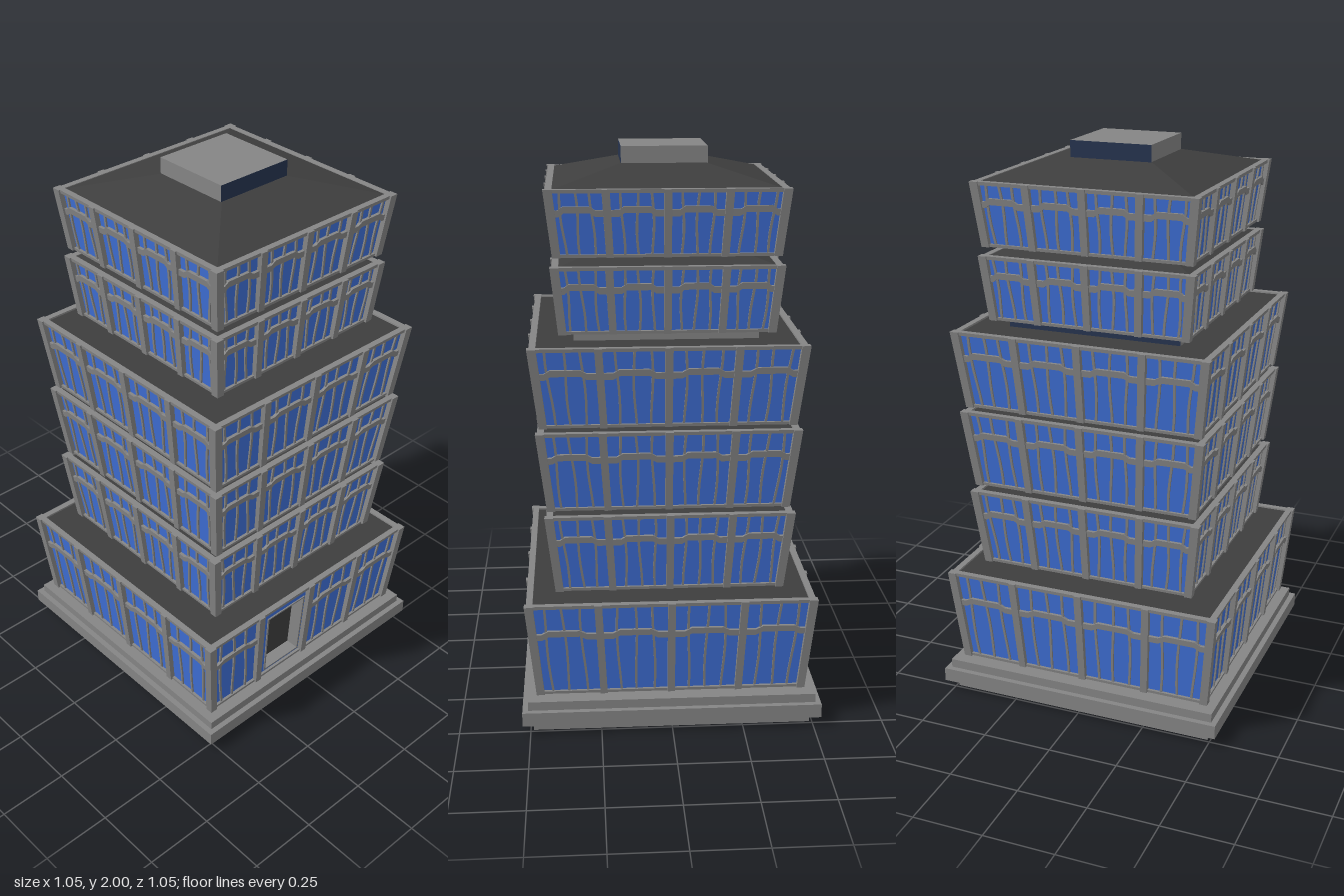
import * as THREE from 'three';
import { mergeGeometries } from 'three/addons/utils/BufferGeometryUtils.js';

const mat = (color, side = THREE.FrontSide) => new THREE.MeshStandardMaterial({ color, side, flatShading: true });
const grey = mat(0x858585);
const dark = mat(0x3e3e3e);
const navy = mat(0x26344f);
const blue = mat(0x3f70d8, THREE.DoubleSide);

// Storeys: bottom, top, width at bottom, width at top, centre x, centre z, width of neck above
const STOREYS = [
  [0.125, 0.475, 0.95, 1.02, -0.004, 0.002, 0.67],
  [0.49, 0.775, 0.80, 0.865, 0.01, 0.003, 0.57],
  [0.795, 1.08, 0.835, 0.902, 0.012, 0.008, 0.57],
  [1.095, 1.375, 0.872, 0.939, 0.01, 0.01, 0.63],
  [1.40, 1.63, 0.732, 0.78, 0.012, 0.009, 0],
  [1.66, 1.885, 0.759, 0.811, 0.012, 0.01, 0],
];
const INSET = 0.018; // glass behind the outer faces of the posts
const DOOR = { x0: -0.19, x1: -0.025, y0: 0.025, y1: 0.295, depth: 0.045 };

function block(x0, x1, y0, y1, z0, z1, segY = 1) {
  const g = new THREE.BoxGeometry(x1 - x0, y1 - y0, z1 - z0, 1, segY, 1);
  g.translate((x0 + x1) / 2, (y0 + y1) / 2, (z0 + z1) / 2);
  return g.toNonIndexed();
}

// Thin glazing bar that wavers a little on its way up
function mullion(x, h, z, seed) {
  const g = block(x - 0.004, x + 0.004, 0.008, h - 0.008, z, z + 0.008, 6);
  const p = g.attributes.position;
  for (let i = 0; i < p.count; i++) {
    p.setX(i, p.getX(i) + 0.004 * Math.sin(seed * 2.3 + (p.getY(i) / h) * 5));
  }
  return g;
}

// Transom with a raised middle and lower shoulders
function transom(x0, x1, y, z) {
  const t = 0.011, rise = 0.012, w = x1 - x0;
  const mid = [[0, 0], [0.16, 0], [0.26, rise], [0.74, rise], [0.84, 0], [1, 0]];
  const pts = [
    ...mid.map(([u, v]) => new THREE.Vector2(x0 + u * w, y + v - t)),
    ...mid.slice().reverse().map(([u, v]) => new THREE.Vector2(x0 + u * w, y + v + t)),
  ];
  const g = new THREE.ExtrudeGeometry(new THREE.Shape(pts), { depth: 0.013, bevelEnabled: false });
  return g.translate(0, 0, z);
}

// Glass wall of one side, with an opening where there is a door
function wall(w, h, z, hasDoor) {
  const a = w / 2 - INSET;
  const s = new THREE.Shape([[-a, 0], [a, 0], [a, h], [-a, h]].map(([x, y]) => new THREE.Vector2(x, y)));
  if (hasDoor) {
    const { x0, x1, y0, y1 } = DOOR;
    s.holes.push(new THREE.Path([[x0, y0], [x0, y1], [x1, y1], [x1, y0]].map(([x, y]) => new THREE.Vector2(x, y))));
  }
  return new THREE.ShapeGeometry(s).toNonIndexed().translate(0, 0, z);
}

// Four-sided frustum roof
function frustum(bottomW, topW, h, y) {
  const g = new THREE.CylinderGeometry(topW / Math.SQRT2, bottomW / Math.SQRT2, h, 4);
  return g.rotateY(Math.PI / 4).translate(0, y + h / 2, 0);
}

// Low block with dark front and back and grey sides
function neck(name, w, y0, y1, cx, cz) {
  const m = new THREE.Mesh(new THREE.BoxGeometry(w, y1 - y0, w), [grey, grey, grey, dark, navy, navy]);
  m.position.set(cx, (y0 + y1) / 2, cz);
  m.name = name;
  return m;
}

function storey(index) {
  const [y0, y1, w, topW, cx, cz, neckW] = STOREYS[index];
  const h = y1 - y0, half = w / 2, glassZ = half - INSET;
  const group = new THREE.Group();
  group.name = 'storey' + (index + 1);
  const frame = [], glass = [], doorBack = [];

  for (let side = 0; side < 4; side++) {
    const hasDoor = index === 0 && side === 0;
    const bars = [];
    // corner post and the rails at head and foot
    bars.push(block(half - 0.028, half, 0, h, half - 0.028, half));
    bars.push(block(-half + 0.02, half - 0.02, h - 0.012, h, half - 0.027, half - 0.006));
    bars.push(block(-half + 0.02, half - 0.02, 0, 0.01, half - 0.027, half - 0.008));
    // columns between the four bays
    for (let c = -1; c <= 1; c++) {
      const x = (c * w) / 4;
      bars.push(block(x - 0.0125, x + 0.0125, 0, h, glassZ - 0.004, half));
    }
    for (let bay = 0; bay < 4; bay++) {
      if (hasDoor && bay === 1) continue;
      const x0 = -half + (bay * w) / 4;
      bars.push(transom(x0 + 0.01, x0 + w / 4 - 0.01, h * 0.65, glassZ - 0.002));
      for (let k = 1; k <= 3; k++) {
        bars.push(mullion(x0 + (k * w) / 16, h, glassZ - 0.002, index * 7 + side * 3 + bay * 5 + k));
      }
    }
    if (hasDoor) {
      // door jambs, lintel, threshold and leaf
      const { x0, x1, y0: b, y1: t, depth } = DOOR, e = 0.006;
      const back = glassZ - depth, front = glassZ + 0.004;
      bars.push(block(x0 - e, x0, b - e, t + e, back, front), block(x1, x1 + e, b - e, t + e, back, front));
      bars.push(block(x0, x1, t, t + e, back, front), block(x0, x1, b - e, b, back, front));
      doorBack.push(block(x0 - e, x1 + e, b - e, t + e, back - 0.01, back));
    }
    const turn = (side * Math.PI) / 2;
    bars.forEach((g) => frame.push(g.rotateY(turn)));
    glass.push(wall(w, h, glassZ, hasDoor).rotateY(turn));
  }

  // Flare every part outwards towards the top of the storey
  const add = (name, parts, material) => {
    const g = mergeGeometries(parts);
    const p = g.attributes.position;
    for (let i = 0; i < p.count; i++) {
      const s = 1 + (topW / w - 1) * (p.getY(i) / h);
      p.setXYZ(i, p.getX(i) * s, p.getY(i), p.getZ(i) * s);
    }
    g.computeVertexNormals();
    const m = new THREE.Mesh(g, material);
    m.name = name;
    group.add(m);
  };
  add('frame', frame, grey);
  add('windows', glass, blue);
  add('floorSlab', [block(-glassZ, glassZ, 0.002, 0.008, -glassZ, glassZ)], dark);
  if (doorBack.length) add('door', doorBack, dark);

  // Roof: flat under a neck, sloping on the upper two storeys
  const inner = topW - 0.045;
  const roofShape = [0, 0, 0, 0, [0.5, 0.032], [0.295, 0.062]][index] || [inner, 0.01];
  const roof = new THREE.Mesh(frustum(inner, roofShape[0], roofShape[1], h - (neckW ? 0.016 : 0.004)), dark);
  roof.name = 'roof';
  group.add(roof);
  group.position.set(cx, y0, cz);
  return group;
}

export function createModel() {
  const model = new THREE.Group();
  model.name = 'tower';

  // Stepped plinth with a dark underside
  [[0.98, 0, 0.035], [1.055, 0.035, 0.085], [1.015, 0.085, 0.117]].forEach(([w, a, b], i) => {
    const m = new THREE.Mesh(new THREE.BoxGeometry(w, b - a, w),
      [grey, grey, grey, i === 0 ? dark : grey, grey, grey]);
    m.position.set(0, (a + b) / 2, 0);
    m.name = 'plinthStep' + (i + 1);
    model.add(m);
  });
  model.add(neck('plinthNeck', 0.88, 0.11, 0.13, 0, 0));

  // Storeys and the recessed necks between them
  STOREYS.forEach(([, top, , , cx, cz, neckW], i) => {
    model.add(storey(i));
    if (neckW) model.add(neck('neck' + (i + 1), neckW, top - 0.02, STOREYS[i + 1][0] + 0.006, cx, cz));
  });

  // Cap on the summit
  model.add(neck('roofCap', 0.295, 1.94, 2, 0.012, 0.007));
  return model;
}
